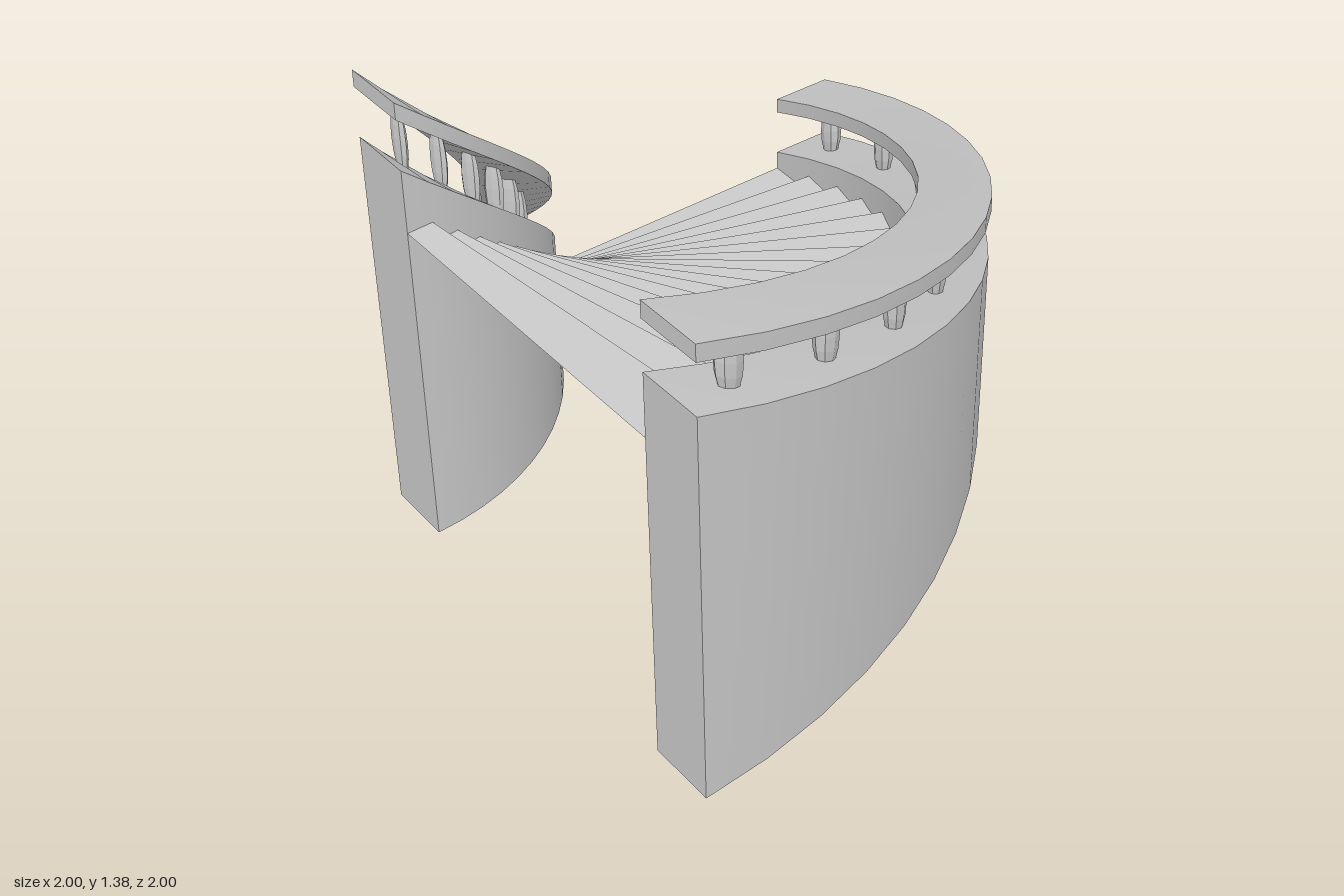
import * as THREE from 'three';

const STEPS = 16, SWEEP = Math.PI / 2;
const INNER = [0.58, 0.78], OUTER = [1.8, 2.0];   // radii of the two side walls
const BALUSTERS = 9;

const solid = new THREE.MeshStandardMaterial({ color: 0xcccccc });
const sheet = new THREE.MeshStandardMaterial({ color: 0xcccccc, side: THREE.DoubleSide });
const faceted = new THREE.MeshStandardMaterial({ color: 0xcccccc, flatShading: true });

// Heights climb linearly with t, the fraction of the quarter turn
const wallTop = t => 0.125 + 1.0625 * t;
const railBottom = t => 0.28 + 1.055 * t;
const railTop = t => railBottom(t) + 0.05;

// Point at radius r, height y and fraction t of the turn around the stair's axis
const place = (r, y, t) => [-1 + r * Math.sin(t * SWEEP), y, 1 - r * Math.cos(t * SWEEP)];

// Box bent round the axis: x becomes radius, z becomes turn, y runs from low(t) to high(t)
function bentBox([r0, r1], low, high, openBottom) {
  const geo = new THREE.BoxGeometry(1, 1, 1, 1, 1, STEPS);
  if (openBottom) {
    const { start, count } = geo.groups[3];
    geo.setIndex([...geo.index.array].filter((_, i) => i < start || i >= start + count));
  }
  geo.clearGroups();
  const p = geo.attributes.position;
  for (let i = 0; i < p.count; i++) {
    const t = p.getZ(i) + 0.5;
    const y = p.getY(i) > 0 ? high(t) : low(t);
    p.setXYZ(i, ...place(p.getX(i) > 0 ? r1 : r0, y, t));
  }
  geo.computeVertexNormals();
  return geo;
}

// Folded sheet of risers and treads
function stairGeometry() {
  const profile = [[0, 0]];
  for (let k = 0; k < STEPS; k++) {
    profile.push([k / STEPS, (k + 1) / STEPS], [(k + 1) / STEPS, (k + 1) / STEPS]);
  }
  const pos = [];
  for (let i = 0; i + 1 < profile.length; i++) {
    const [t0, y0] = profile[i], [t1, y1] = profile[i + 1];
    const a = place(INNER[1], y0, t0), b = place(OUTER[0], y0, t0);
    const c = place(OUTER[0], y1, t1), d = place(INNER[1], y1, t1);
    pos.push(...a, ...d, ...c, ...a, ...c, ...b);
  }
  const geo = new THREE.BufferGeometry();
  geo.setAttribute('position', new THREE.Float32BufferAttribute(pos, 3));
  geo.computeVertexNormals();
  return geo;
}

// Bulging baluster, bent and sheared along with the slope
function balusterGeometry(radius, t0) {
  const geo = new THREE.SphereGeometry(1, 8, 8);
  const p = geo.attributes.position;
  for (let i = 0; i < p.count; i++) {
    const t = t0 + p.getZ(i) * 0.0137;
    const mid = (wallTop(t) + railBottom(t)) / 2;
    p.setXYZ(i, ...place(radius + p.getX(i) * 0.028, mid + p.getY(i) * 0.11, t));
  }
  geo.computeVertexNormals();
  return geo;
}

export function createModel() {
  const model = new THREE.Group();
  model.name = 'curvedStaircase';
  const add = (name, geo, material, parent = model) => {
    const mesh = new THREE.Mesh(geo, material);
    mesh.name = name;
    parent.add(mesh);
  };

  add('steps', stairGeometry(), sheet);

  for (const [side, radii] of [['inner', INNER], ['outer', OUTER]]) {
    // Hollow side wall, open underneath, with its handrail
    add(side + 'Wall', bentBox(radii, () => 0, wallTop, true), sheet);
    add(side + 'Handrail', bentBox(radii, railBottom, railTop, false), solid);

    const balusters = new THREE.Group();
    balusters.name = side + 'Balusters';
    model.add(balusters);
    for (let i = 0; i < BALUSTERS; i++) {
      const geo = balusterGeometry((radii[0] + radii[1]) / 2, (i + 0.5) / BALUSTERS);
      add(side + 'Baluster', geo, faceted, balusters);
    }
  }
  return model;
}
